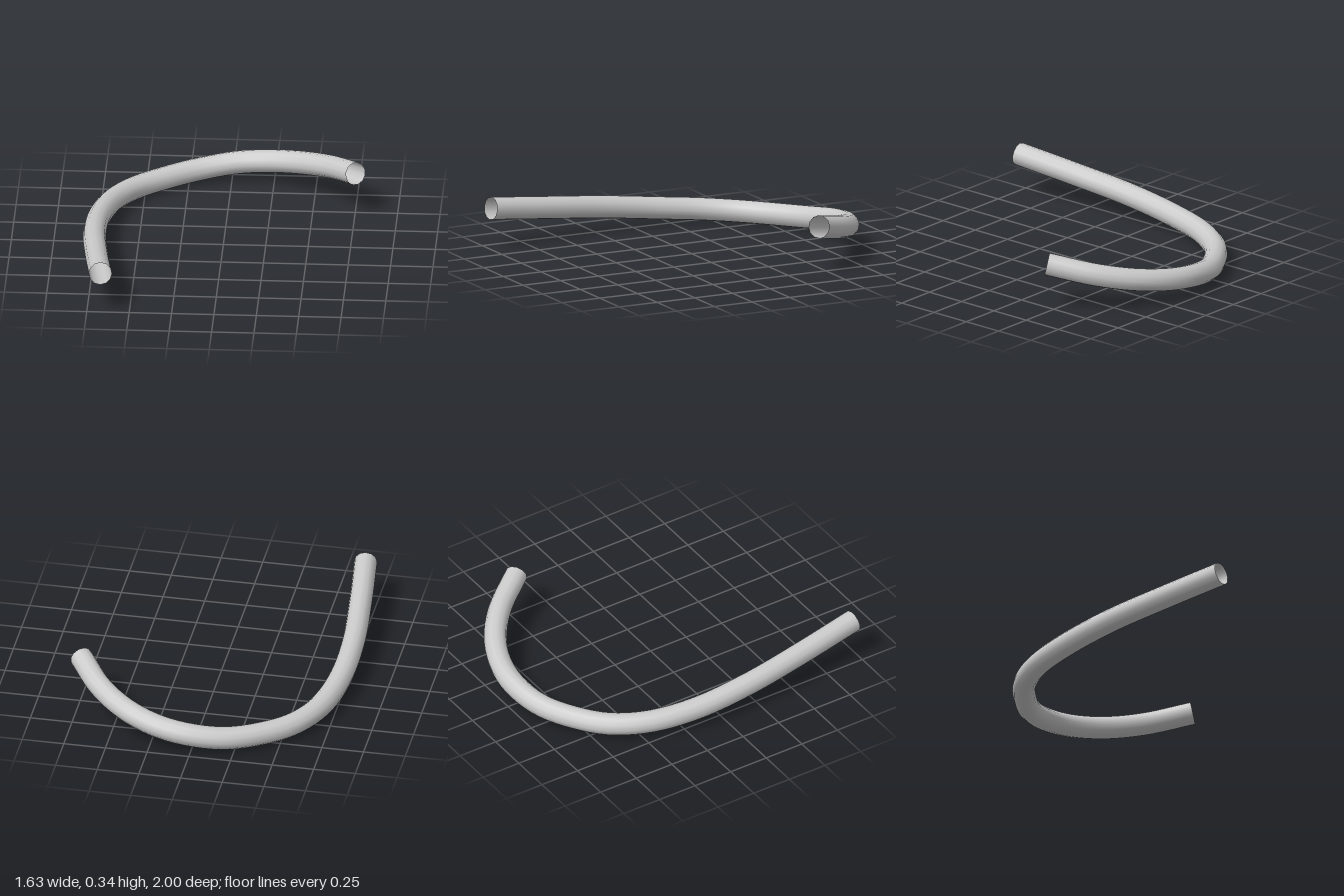
import * as THREE from 'three';

export function createModel() {
  const group = new THREE.Group();

  // Centre line of the hook: long straight arm, round bend, short rising arm
  const path = new THREE.CatmullRomCurve3([
    [-0.67, 0.242, 0.985],
    [-0.715, 0.195, 0.6],
    [-0.748, 0.148, 0.2],
    [-0.735, 0.106, -0.15],
    [-0.67, 0.082, -0.43],
    [-0.55, 0.07, -0.635],
    [-0.39, 0.071, -0.775],
    [-0.19, 0.083, -0.888],
    [0.03, 0.112, -0.932],
    [0.22, 0.137, -0.907],
    [0.41, 0.17, -0.823],
    [0.59, 0.215, -0.675],
    [0.755, 0.274, -0.452],
  ].map((p) => new THREE.Vector3(...p)));

  // Open-ended bent tube
  const tube = new THREE.Mesh(
    new THREE.TubeGeometry(path, 64, 0.068, 12, false),
    new THREE.MeshStandardMaterial({ color: 0xcccccc, side: THREE.DoubleSide })
  );
  tube.name = 'bentTube';
  group.add(tube);
  return group;
}
